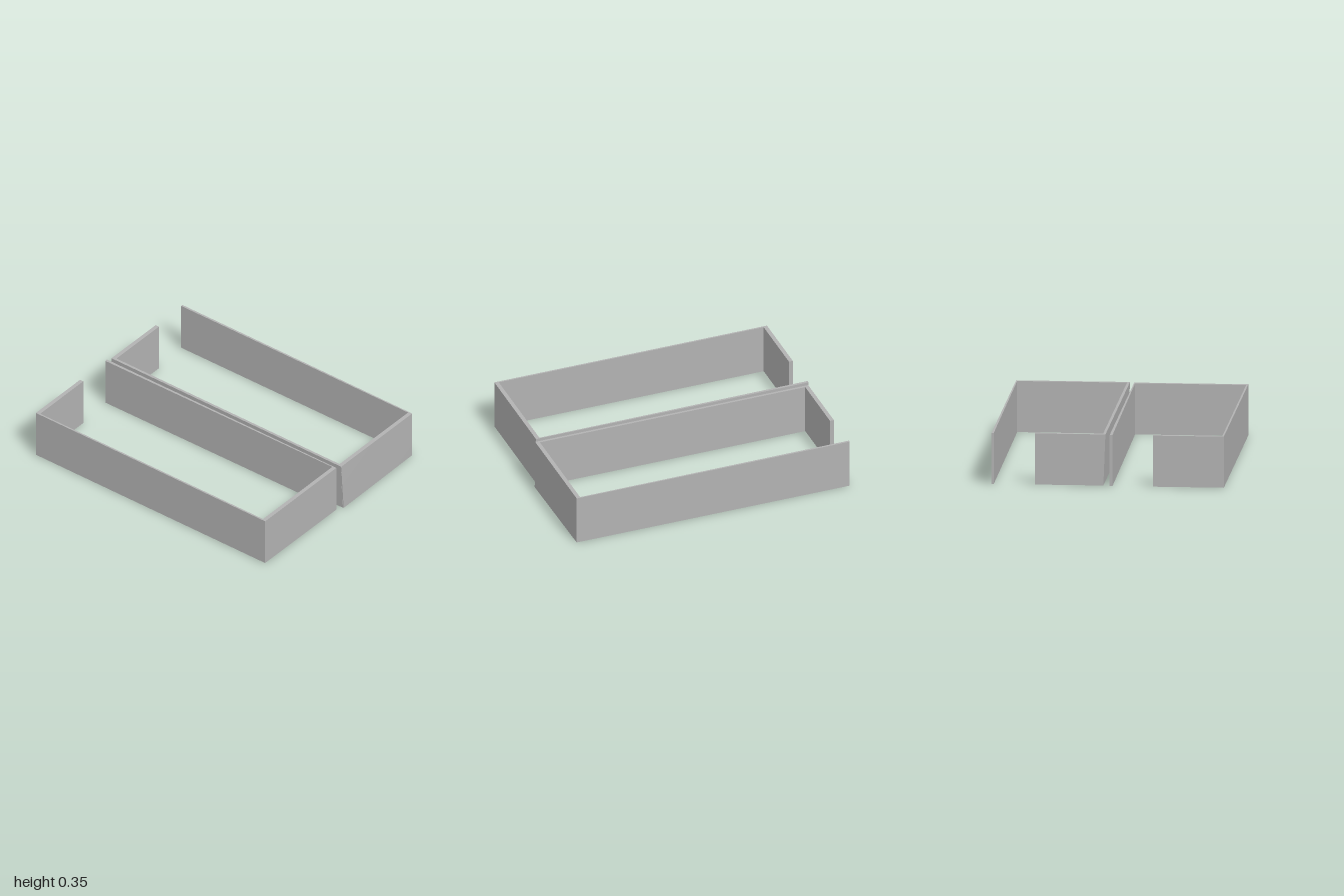
import * as THREE from 'three';

const HEIGHT = 0.35;

export function createModel() {
  const model = new THREE.Group();
  const plaster = new THREE.MeshStandardMaterial({ color: 0xb2b2b2 });
  plaster.name = 'plaster grey';

  // Upright wall over a rectangle; adjust(x, y, z) may shift single corners.
  function wall(room, name, x0, x1, z0, z1, adjust) {
    const geometry = new THREE.BoxGeometry(x1 - x0, HEIGHT, z1 - z0);
    geometry.translate((x0 + x1) / 2, HEIGHT / 2, (z0 + z1) / 2);
    if (adjust) {
      const p = geometry.attributes.position;
      const v = new THREE.Vector3();
      for (let i = 0; i < p.count; i++) {
        v.fromBufferAttribute(p, i);
        // which end of the wall each corner belongs to
        const right = v.x > (x0 + x1) / 2;
        const top = v.y > HEIGHT / 2;
        const front = v.z > (z0 + z1) / 2;
        adjust(v, right, top, front);
        p.setXYZ(i, v.x, v.y, v.z);
      }
      geometry.computeVertexNormals();
    }
    const mesh = new THREE.Mesh(geometry, plaster);
    mesh.name = name;
    room.add(mesh);
  }

  // Rear room, open at the back of its -x side
  const rear = new THREE.Group();
  rear.name = 'rearRoom';
  wall(rear, 'rearRoomBackWall', -0.985, 0.99, -0.787, -0.778, (v, right, top, front) => {
    if (front && !right) v.z = -0.772;
  });
  // outer face leans inwards towards the floor
  wall(rear, 'rearRoomFrontWall', -0.985, 0.99, -0.035, -0.017, (v, right, top, front) => {
    if (front && !top) v.z = -0.031;
  });
  wall(rear, 'rearRoomEndWall', 0.963, 0.991, -0.787, -0.017, (v, right, top, front) => {
    if (front && !top) {
      v.z = -0.033;
      if (right) v.x = 1;
    }
  });
  wall(rear, 'rearRoomShortWall', -0.985, -0.957, -0.495, -0.033);

  // Front room, open at the back of its -x side
  const front = new THREE.Group();
  front.name = 'frontRoom';
  wall(front, 'frontRoomFrontWall', -1, 0.973, 0.773, 0.785);
  wall(front, 'frontRoomBackWall', -1, 0.973, 0.013, 0.021, (v, right, top, isFront) => {
    if (isFront && !right) v.z = 0.032;
  });
  wall(front, 'frontRoomEndWall', 0.945, 0.973, 0.013, 0.785);
  wall(front, 'frontRoomShortWall', -1, -0.972, 0.305, 0.785);

  model.add(rear, front);
  return model;
}
